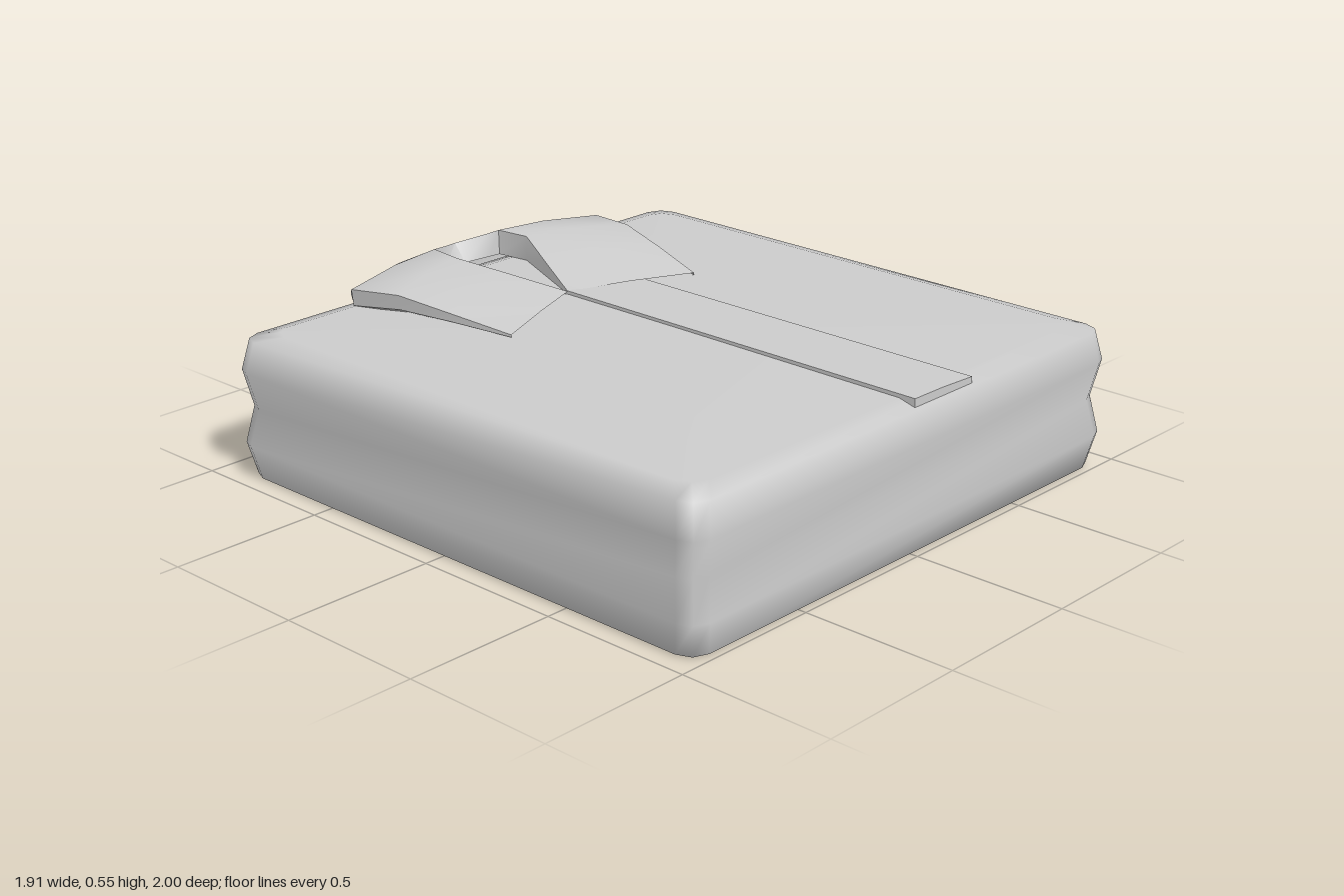
import * as THREE from 'three';
import { toCreasedNormals } from 'three/addons/utils/BufferGeometryUtils.js';

const grey = () => new THREE.MeshStandardMaterial({ color: 0xcccccc, side: THREE.DoubleSide });

function indexed(points, faces) {
  const g = new THREE.BufferGeometry();
  g.setAttribute('position', new THREE.Float32BufferAttribute(points.flat(), 3));
  g.setIndex(faces);
  g.computeVertexNormals();
  return g;
}

// Square outline with rounded corners, counter-clockwise seen from above
function squareRing(half, radius, y, zc) {
  const ring = [];
  for (let c = 0; c < 4; c++) {
    const mid = Math.PI / 4 + c * Math.PI / 2;
    const cx = Math.sign(Math.cos(mid)) * (half - radius);
    const cz = Math.sign(Math.sin(mid)) * (half - radius);
    for (let k = 0; k <= 2; k++) {
      const a = c * Math.PI / 2 + k * Math.PI / 4;
      ring.push([cx + radius * Math.cos(a), y, zc + cz + radius * Math.sin(a)]);
    }
  }
  return ring;
}

// Folded cloth block: stacked outlines with a waist between its two bulges
function bodyGeometry() {
  const zc = 0.043;
  const profile = [
    [0.88, 0], [0.935, 0.004], [0.957, 0.11], [0.935, 0.23],
    [0.957, 0.35], [0.937, 0.45], [0.87, 0.468],
  ];
  const points = profile.flatMap(([h, y]) => squareRing(h, 0.065, y, zc));
  const n = 12, faces = [];
  for (let r = 0; r < profile.length - 1; r++) {
    for (let i = 0; i < n; i++) {
      const a = r * n + i, b = r * n + (i + 1) % n;
      faces.push(a, a + n, b, b, a + n, b + n);
    }
  }
  // top and bottom caps
  const bottom = points.push([0, 0, zc]) - 1;
  const top = points.push([0, 0.47, zc]) - 1;
  const last = (profile.length - 1) * n;
  for (let i = 0; i < n; i++) {
    const j = (i + 1) % n;
    faces.push(bottom, i, j, top, last + j, last + i);
  }
  return indexed(points, faces);
}

// Collar: sections run from one front point, round the neck, to the other.
// Each section goes inner foot, inner rim, middle, outer rim, lower edge, tuck.
function collarGeometry() {
  const half = [
    [[0, 0.468, -0.42], [0, 0.478, -0.42], [0.2, 0.484, -0.335], [0.41, 0.48, -0.25], [0.41, 0.472, -0.25], [0.38, 0.468, -0.28]],
    [[0.08, 0.468, -0.6], [0.08, 0.515, -0.6], [0.27, 0.53, -0.54], [0.465, 0.512, -0.46], [0.463, 0.485, -0.46], [0.43, 0.468, -0.47]],
    [[0.155, 0.468, -0.77], [0.157, 0.55, -0.77], [0.33, 0.553, -0.72], [0.51, 0.538, -0.65], [0.505, 0.49, -0.65], [0.46, 0.468, -0.66]],
    [[0.14, 0.468, -0.885], [0.143, 0.55, -0.89], [0.33, 0.545, -0.87], [0.547, 0.525, -0.83], [0.54, 0.47, -0.83], [0.5, 0.455, -0.8]],
    [[0.1, 0.468, -0.89], [0.1, 0.545, -0.9], [0.26, 0.52, -0.935], [0.41, 0.435, -1], [0.405, 0.385, -0.985], [0.38, 0.36, -0.9]],
    [[0, 0.468, -0.9], [0, 0.525, -0.95], [0, 0.495, -0.97], [0, 0.43, -1], [0, 0.315, -0.98], [0, 0.28, -0.9]],
  ];
  const mirrored = half.slice(0, -1).reverse().map(s => s.map(([x, y, z]) => [-x, y, z]));
  const sections = [...half, ...mirrored];
  const m = half[0].length, faces = [];
  for (let i = 0; i < sections.length - 1; i++) {
    for (let j = 0; j < m - 1; j++) {
      const a = i * m + j, b = a + m;
      faces.push(a, a + 1, b, a + 1, b + 1, b);
    }
  }
  return toCreasedNormals(indexed(sections.flat(), faces), 0.75);
}

// Button strip: a thin wedge, raised along the opening
function placketGeometry() {
  const s = new THREE.Shape();
  s.moveTo(0, 0.45);
  s.lineTo(0.27, 0.45);
  s.lineTo(0.27, 0.473);
  s.lineTo(0.13, 0.479);
  s.lineTo(0, 0.48);
  const g = new THREE.ExtrudeGeometry(s, { depth: 1.39, bevelEnabled: false });
  g.translate(0, 0, -0.42);
  return toCreasedNormals(g, 0.5);
}

export function createModel() {
  const model = new THREE.Group();
  model.name = 'foldedShirt';
  const parts = { foldedBody: bodyGeometry(), collar: collarGeometry(), placket: placketGeometry() };
  for (const [name, geometry] of Object.entries(parts)) {
    const mesh = new THREE.Mesh(geometry, grey());
    mesh.name = name;
    model.add(mesh);
  }
  return model;
}
